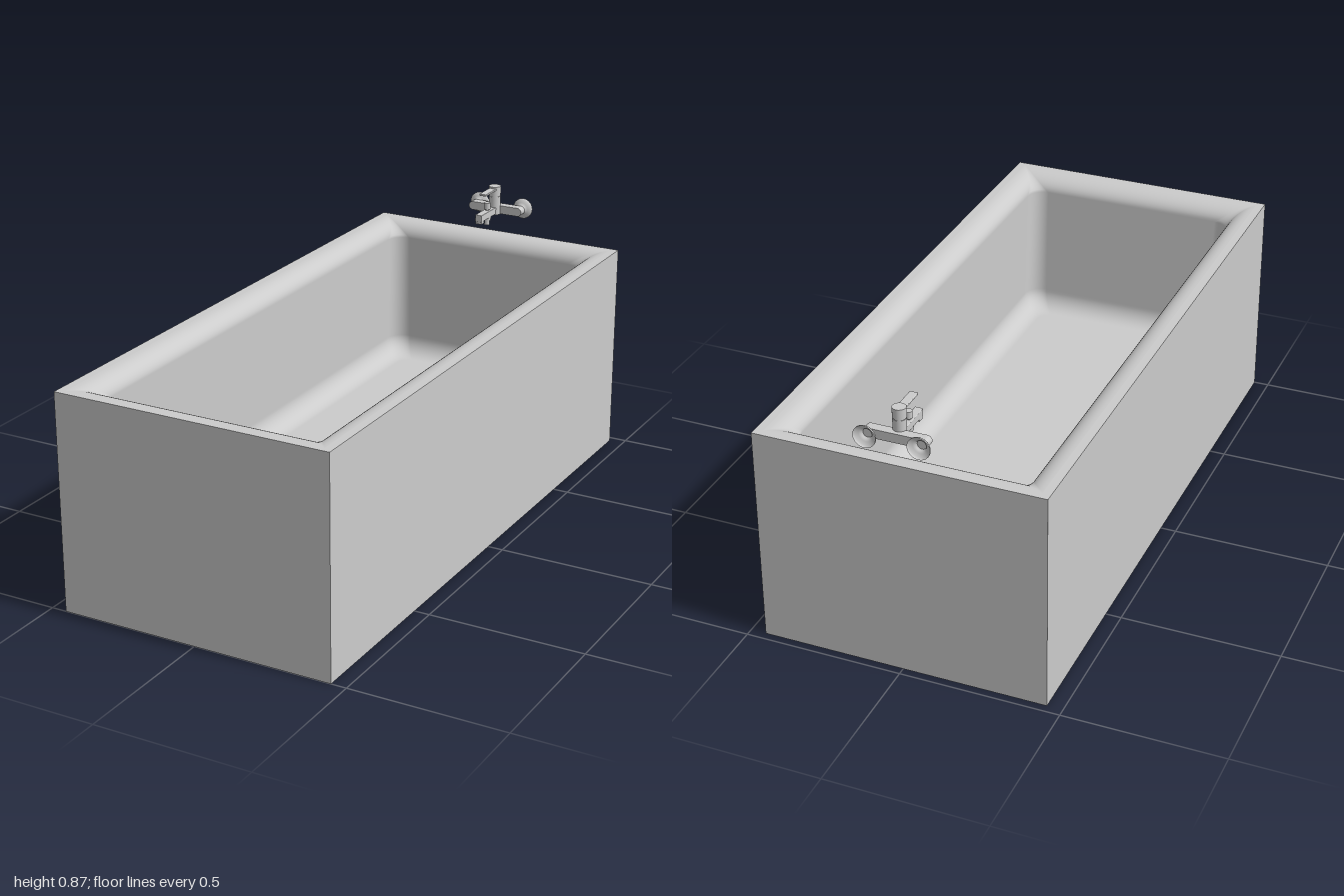
import * as THREE from 'three';
import { RoundedBoxGeometry } from 'three/addons/geometries/RoundedBoxGeometry.js';

const material = new THREE.MeshStandardMaterial({ color: 0xcccccc, side: THREE.DoubleSide });
const TOP = 0.7, BACK = -0.975, FRONT = 1, HALF = 0.451, FLOOR = 0.222;

function add(parent, name, geometry, x = 0, y = 0, z = 0) {
  const mesh = new THREE.Mesh(geometry, material);
  mesh.name = name;
  mesh.position.set(x, y, z);
  parent.add(mesh);
  return mesh;
}

// Horizontal rounded rectangle as a loop of points
function ring({ half, back, front, y, r }) {
  const points = [], steps = 10;
  const corners = [[half - r, front - r], [-half + r, front - r], [-half + r, back + r], [half - r, back + r]];
  corners.forEach(([cx, cz], c) => {
    for (let i = 0; i <= steps; i++) {
      const a = (c + i / steps) * Math.PI / 2;
      points.push([cx + r * Math.cos(a), y, cz + r * Math.sin(a)]);
    }
  });
  return points;
}

// Skin between rings running from the outside in and down; optionally closed at the end
function loft(sections, cap) {
  const rings = sections.map(ring), n = rings[0].length;
  const positions = rings.flat(2), index = [];
  for (let s = 0; s < rings.length - 1; s++) {
    for (let i = 0; i < n; i++) {
      const j = (i + 1) % n, a = s * n + i, b = s * n + j;
      index.push(a, a + n, b, b, a + n, b + n);
    }
  }
  if (cap) {
    const { y, back, front } = sections[sections.length - 1];
    const centre = positions.length / 3, base = (rings.length - 1) * n;
    positions.push(0, y, (back + front) / 2);
    for (let i = 0; i < n; i++) index.push(base + i, centre, base + (i + 1) % n);
  }
  const g = new THREE.BufferGeometry();
  g.setAttribute('position', new THREE.Float32BufferAttribute(positions, 3));
  g.setIndex(index);
  g.computeVertexNormals();
  return g;
}

function createTub() {
  const tub = new THREE.Group();
  tub.name = 'bathtub';

  // Outer panels and underside
  const depth = FRONT - BACK, mid = (FRONT + BACK) / 2;
  for (const s of [-1, 1]) {
    add(tub, 'sidePanel', new THREE.PlaneGeometry(depth, TOP), s * HALF, TOP / 2, mid).rotation.y = s * Math.PI / 2;
  }
  add(tub, 'frontPanel', new THREE.PlaneGeometry(2 * HALF, TOP), 0, TOP / 2, FRONT);
  add(tub, 'backPanel', new THREE.PlaneGeometry(2 * HALF, TOP), 0, TOP / 2, BACK).rotation.y = Math.PI;
  add(tub, 'underside', new THREE.PlaneGeometry(2 * HALF, depth), 0, 0, mid).rotation.x = Math.PI / 2;

  // Narrow flat rim with square corners
  const outer = { half: HALF, back: BACK, front: FRONT, y: TOP, r: 0.0005 };
  const lip = { half: 0.425, back: -0.95, front: 0.982, y: TOP, r: 0.003 };
  add(tub, 'rim', loft([outer, lip]));

  // Basin: broad rolled lip, nearly upright walls and a filleted floor
  const sections = [], steps = 10;
  for (let i = 0; i <= steps; i++) {
    const a = i / steps * Math.PI / 2, t = Math.sin(a), drop = 1 - Math.cos(a);
    sections.push({ half: 0.425 - 0.066 * t, back: -0.95 + 0.058 * t, front: 0.982 - 0.078 * t, y: TOP - 0.05 * drop, r: 0.003 + 0.052 * drop });
  }
  for (let i = 0; i <= steps; i++) {
    const a = i / steps * Math.PI / 2, d = 0.065 * (1 - Math.cos(a));
    sections.push({ half: 0.355 - d, back: -0.888 + d, front: 0.872 - d, y: FLOOR + 0.065 * (1 - Math.sin(a)), r: 0.058 - d * 0.3 });
  }
  add(tub, 'basin', loft(sections, true));
  return tub;
}

function createTap() {
  const tap = new THREE.Group();
  tap.name = 'mixerTap';
  const y = 0.787, reach = 0.085, barRadius = 0.0145;
  const cylinder = (r, h) => new THREE.CylinderGeometry(r, r, h, 32);

  // Dished wall roses, mirrored
  const roseProfile = [[0.035, 0], [0.035, 0.005], [0.032, 0.01], [0.024, 0.015], [0.016, 0.019], [0.0135, 0.03], [0, 0.03]]
    .map(([r, h]) => new THREE.Vector2(r, h));
  for (const s of [-1, 1]) {
    add(tap, 'wallRose', new THREE.LatheGeometry(roseProfile, 32), s * 0.082, y, -1).rotation.x = Math.PI / 2;
  }

  // Flat crossbar with half-round ends
  const bar = new THREE.Shape();
  bar.absarc(reach, 0, barRadius, -Math.PI / 2, Math.PI / 2);
  bar.absarc(-reach, 0, barRadius, Math.PI / 2, Math.PI * 1.5);
  bar.closePath();
  add(tap, 'crossbar', new THREE.ExtrudeGeometry(bar, { depth: 0.03, bevelEnabled: false, curveSegments: 16 }), 0, y, -0.975);

  // Upright body, collar, cap and lever
  add(tap, 'body', cylinder(0.02, 0.064), 0, 0.804, -0.942);
  add(tap, 'collar', cylinder(0.0185, 0.004), 0, 0.838, -0.942);
  add(tap, 'cap', cylinder(0.0205, 0.032), 0, 0.855, -0.942);
  add(tap, 'lever', new RoundedBoxGeometry(0.026, 0.007, 0.09, 3, 0.002), 0, 0.862, -0.89);

  // Square spout with downturned mouth
  add(tap, 'spout', new RoundedBoxGeometry(0.025, 0.024, 0.13, 3, 0.002), 0, 0.787, -0.881);
  add(tap, 'spoutMouth', new RoundedBoxGeometry(0.023, 0.018, 0.022, 3, 0.002), 0, 0.775, -0.829);

  // Diverter knob above and hose outlet below
  add(tap, 'diverterStem', cylinder(0.006, 0.02), 0, 0.8, -0.884);
  add(tap, 'diverterKnob', cylinder(0.011, 0.022), 0, 0.815, -0.884);
  add(tap, 'hoseCollar', cylinder(0.013, 0.014), 0, 0.771, -0.884);
  add(tap, 'hoseOutlet', cylinder(0.009, 0.018), 0, 0.757, -0.884);
  return tap;
}

export function createModel() {
  const model = new THREE.Group();
  model.name = 'bathtubWithTap';
  model.add(createTub(), createTap());
  return model;
}
